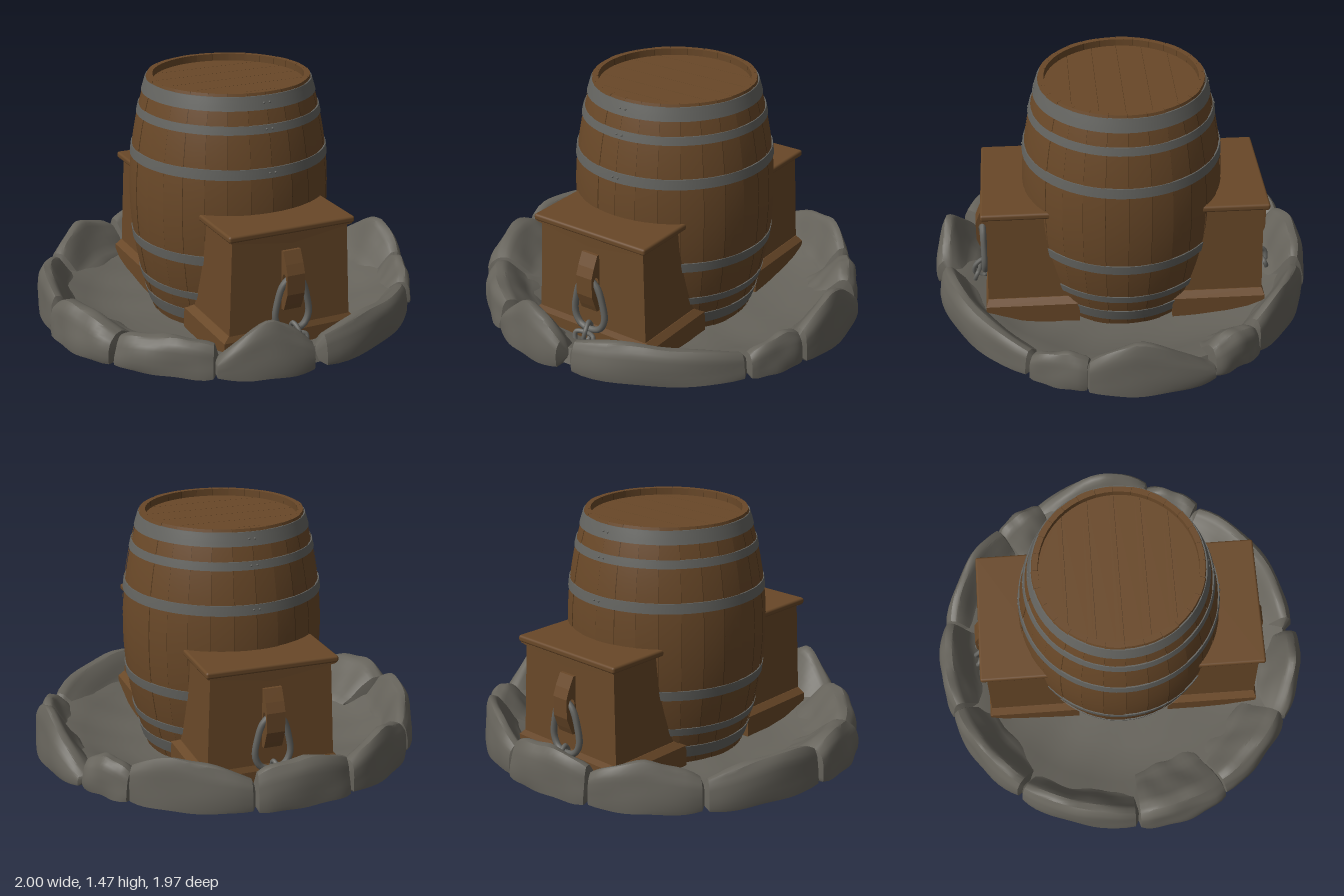
import * as THREE from 'three';
import { toCreasedNormals } from 'three/addons/utils/BufferGeometryUtils.js';
import { RoundedBoxGeometry } from 'three/addons/geometries/RoundedBoxGeometry.js';

const paint = (name, color) => Object.assign(new THREE.MeshStandardMaterial({ color }), { name });
const wood = paint('oak wood', 0x694828);
const seam = paint('dark wood seam', 0x4a3219);
const iron = paint('iron', 0x63635f);
const rock = paint('rock', 0x66635b);

const V2 = (x, y) => new THREE.Vector2(x, y);
const V3 = (x, y, z) => new THREE.Vector3(x, y, z);

function add(parent, name, geometry, material, x = 0, y = 0, z = 0) {
  const mesh = new THREE.Mesh(geometry, material);
  mesh.name = name;
  mesh.position.set(x, y, z);
  parent.add(mesh);
  return mesh;
}

// Barrel radius at a height
const barrelRadius = (y) => 0.509 - 0.098 * ((y - 0.87) / 0.6) ** 2;

// Profile that follows the barrel between two heights
function barrelCurve(y0, y1, offset, steps) {
  return Array.from({ length: steps + 1 }, (_, i) => {
    const y = y0 + (y1 - y0) * i / steps;
    return V2(barrelRadius(y) + offset, y);
  });
}

function makeBarrel() {
  const barrel = new THREE.Group();
  barrel.name = 'barrel';

  // Staves over a dark core that shows in the seams
  const core = [...barrelCurve(0.23, 1.47, -0.004, 16), V2(0.384, 1.47), V2(0.384, 1.4)];
  add(barrel, 'staveSeams', toCreasedNormals(new THREE.LatheGeometry(core, 56), 0.6), seam);
  const count = 28, arc = Math.PI * 2 / count;
  for (let i = 0; i < count; i++) {
    const lift = (i % 3) * 0.0015 - 0.0015;
    const profile = [...barrelCurve(0.23, 1.474, lift, 16), V2(0.381, 1.474), V2(0.381, 1.4)];
    const stave = new THREE.LatheGeometry(profile, 2, i * arc + 0.002, arc - 0.004);
    add(barrel, 'stave', toCreasedNormals(stave, 0.6), wood);
  }

  // Iron hoops, mirrored about the belly, with paired rivets
  for (const [low, high] of [[1.395, 1.46], [1.285, 1.325], [1.07, 1.12]]) {
    for (const [a, b] of [[low, high], [1.74 - high, 1.74 - low]]) {
      const band = [V2(barrelRadius(a) - 0.01, a), ...barrelCurve(a, b, 0.005, 3), V2(barrelRadius(b) - 0.01, b)];
      add(barrel, 'hoop', toCreasedNormals(new THREE.LatheGeometry(band, 64), 0.6), iron);
      const y = (a + b) / 2;
      for (const side of [1, -1]) for (const x of [-0.015, 0.015]) {
        add(barrel, 'rivet', new THREE.SphereGeometry(0.006, 8, 6), iron, x, y, side * (barrelRadius(y) + 0.004));
      }
    }
  }

  // Recessed lid made of planks
  add(barrel, 'lidSeams', new THREE.CylinderGeometry(0.384, 0.384, 0.02, 48), seam, 0, 1.423, 0);
  const R = 0.383, planks = 6, w = 2 * R / planks;
  for (let p = 0; p < planks; p++) {
    const z0 = -R + p * w + 0.001, z1 = -R + (p + 1) * w - 0.001;
    const right = [], left = [];
    for (let k = 0; k <= 10; k++) {
      const z = z0 + (z1 - z0) * k / 10, x = Math.sqrt(R * R - z * z);
      right.push(V2(x, z));
      left.unshift(V2(-x, z));
    }
    const plank = new THREE.ExtrudeGeometry(new THREE.Shape([...right, ...left]), { depth: 0.008, bevelEnabled: false });
    add(barrel, 'lidPlank', plank.rotateX(-Math.PI / 2), wood, 0, 1.43, 0);
  }
  return barrel;
}

// Box whose top differs in half width and outer depth from its bottom
function taperedBox(y0, y1, bottomX, topX, bottomZ, topZ, innerZ) {
  const g = new THREE.BoxGeometry(2, 1, 1);
  const p = g.attributes.position;
  for (let i = 0; i < p.count; i++) {
    const top = p.getY(i) > 0;
    p.setXYZ(i, p.getX(i) * (top ? topX : bottomX), top ? y1 : y0,
      p.getZ(i) > 0 ? (top ? topZ : bottomZ) : innerZ);
  }
  g.computeVertexNormals();
  return g;
}

function chainLink(points, radius) {
  return new THREE.TubeGeometry(new THREE.CatmullRomCurve3(points, true), 40, radius, 8, true);
}

function makeSupport() {
  const support = new THREE.Group();
  support.name = 'support';
  add(support, 'supportBody', taperedBox(0.3, 0.87, 0.33, 0.307, 0.705, 0.69, 0.26), wood);
  add(support, 'plinth', taperedBox(0.232, 0.35, 0.36, 0.36, 0.715, 0.715, 0.24), wood);
  add(support, 'plinthSlope', taperedBox(0.35, 0.38, 0.36, 0.33, 0.715, 0.702, 0.24), wood);
  add(support, 'cap', new RoundedBoxGeometry(0.672, 0.034, 0.42, 2, 0.012), wood, 0, 0.876, 0.51);

  // Fascia under the cap, dipping to a point in the middle
  const fascia = new THREE.Shape([V2(-0.325, 0.865), V2(-0.325, 0.855), V2(0, 0.808), V2(0.325, 0.855), V2(0.325, 0.865)]);
  add(support, 'fascia', new THREE.ExtrudeGeometry(fascia, { depth: 0.03, bevelEnabled: false }), wood, 0, 0, 0.682);

  // Wooden hook seen from its side, with an eye for the link
  const hook = new THREE.Shape([V2(0.68, 0.77), V2(0.708, 0.77), V2(0.738, 0.71), V2(0.757, 0.66),
    V2(0.757, 0.56), V2(0.735, 0.5), V2(0.722, 0.47), V2(0.68, 0.47)]);
  hook.holes.push(new THREE.Path().absellipse(0.724, 0.625, 0.02, 0.032, 0, Math.PI * 2, true));
  const hookShape = new THREE.ExtrudeGeometry(hook, { depth: 0.094, bevelEnabled: false, curveSegments: 10 });
  add(support, 'hook', hookShape.rotateY(-Math.PI / 2), wood, 0.047, 0, 0);

  // Hanging chain
  add(support, 'largeLink', chainLink([V3(0, 0.638, 0.724), V3(0.05, 0.605, 0.722), V3(0.08, 0.52, 0.72),
    V3(0.09, 0.43, 0.72), V3(0.06, 0.375, 0.722), V3(0, 0.36, 0.724), V3(-0.06, 0.375, 0.722),
    V3(-0.09, 0.43, 0.72), V3(-0.08, 0.52, 0.72), V3(-0.05, 0.605, 0.722)], 0.017), iron);
  add(support, 'middleLink', chainLink([V3(0, 0.4, 0.73), V3(0.012, 0.37, 0.775), V3(0, 0.31, 0.775),
    V3(-0.012, 0.29, 0.73), V3(0, 0.34, 0.705)], 0.012), iron);
  add(support, 'lowerLink', chainLink([V3(0, 0.35, 0.75), V3(0.055, 0.345, 0.765), V3(0.045, 0.3, 0.78),
    V3(0, 0.28, 0.78), V3(-0.045, 0.3, 0.78), V3(-0.055, 0.345, 0.765)], 0.012), iron);
  return support;
}

// Stone dish, hollow inside, with uneven surface
function makeDish() {
  const profile = [V2(0, 0.004), V2(0.15, 0.016), V2(0.3, 0.032), V2(0.42, 0.055), V2(0.53, 0.085), V2(0.63, 0.13),
    V2(0.72, 0.185), V2(0.8, 0.243), V2(0.87, 0.258), V2(0.93, 0.27), V2(0.9, 0.34), V2(0.82, 0.322),
    V2(0.74, 0.29), V2(0.65, 0.262), V2(0.53, 0.245), V2(0.4, 0.24), V2(0, 0.24)];
  const g = new THREE.LatheGeometry(profile, 64);
  const p = g.attributes.position;
  for (let i = 0; i < p.count; i++) {
    const x = p.getX(i), z = p.getZ(i), r = Math.hypot(x, z);
    p.setY(i, p.getY(i) + 0.007 * r * (Math.sin(11 * x + 3 * z) + Math.sin(17 * z - 9 * x)));
  }
  return toCreasedNormals(g, 0.8);
}

// One boulder swept along the rim: crest is where its peak lies, slope how fast it falls away
function boulder(from, to, height, outer, inner, crest, slope, seed) {
  const section = new THREE.CatmullRomCurve3([[0.7, 0], [1, 0.01], [0.99, 0.4], [0.93, 0.76], [0.8, 0.98], [0.6, 0.96],
    [0.38, 0.7], [0.12, 0.35], [-0.12, 0.15], [0.2, 0]].map(([u, v]) => V3(u, v, 0)), true, 'catmullrom', 0.25)
    .getPoints(30).slice(0, -1);
  const n = section.length, steps = 16, pos = [], index = [];
  for (let i = 0; i <= steps; i++) {
    const t = i / steps, angle = THREE.MathUtils.degToRad(from - 1.5 + (to - from + 3) * t);
    const swell = i % steps ? 1 - 0.28 * Math.abs(2 * t - 1) ** 7 : 0;
    const peak = 1 - slope * Math.abs(t - crest) ** 1.4;
    section.forEach(({ x, y }, j) => {
      const turn = j / n * Math.PI * 2;
      const bump = 0.04 * Math.sin(turn * 3 + seed * 3.1 + t * 6) + 0.035 * Math.sin(t * 15 + seed * 1.7 - turn * 2);
      const u = 0.6 + (x - 0.6) * swell * (1 + bump);
      const v = Math.max(0, 0.2 + (y * peak - 0.2) * swell * (1 + bump * 0.8));
      const r = inner + (outer - inner) * u;
      pos.push(r * Math.cos(angle), 0.253 + (height - 0.253) * v, r * Math.sin(angle));
      if (i < steps) {
        const a = i * n + j, b = i * n + (j + 1) % n;
        index.push(a, b, a + n, b, b + n, a + n);
      }
    });
  }
  const g = new THREE.BufferGeometry();
  g.setAttribute('position', new THREE.Float32BufferAttribute(pos, 3));
  g.setIndex(index);
  return toCreasedNormals(g, 0.55);
}

export function createModel() {
  const model = new THREE.Group();
  model.name = 'barrelOnStoneBase';

  const barrel = makeBarrel();
  barrel.position.set(0.018, 0, -0.003);
  model.add(barrel);

  // Front and back supports
  for (const turn of [0, Math.PI]) {
    const support = makeSupport();
    support.position.set(0.017, 0, -0.003);
    support.rotation.y = turn;
    model.add(support);
  }

  add(model, 'stoneDish', makeDish(), rock);

  // Boulders: start angle, end angle, top, outer radius, inner radius, crest, slope
  [[14, 31, 0.44, 0.98, 0.8, 0.3, 0.5], [31, 87, 0.455, 0.965, 0.78, 0.6, 0.8], [89, 118, 0.53, 0.985, 0.78, 0.45, 1.7],
    [118, 149, 0.44, 0.98, 0.73, 0.4, 0.5], [149, 178, 0.47, 1, 0.71, 0.6, 0.6], [178, 217, 0.49, 0.985, 0.8, 0.4, 0.7],
    [217, 251, 0.5, 0.985, 0.78, 0.5, 0.9], [251, 281, 0.5, 0.98, 0.78, 0.5, 0.6], [281, 319, 0.51, 0.97, 0.8, 0.6, 0.8],
    [319, 335, 0.45, 0.98, 0.75, 0.5, 0.7], [335, 374, 0.535, 1, 0.8, 0.62, 1.7]
  ].forEach((spec, i) => add(model, 'boulder', boulder(...spec, i + 1), rock));
  return model;
}
